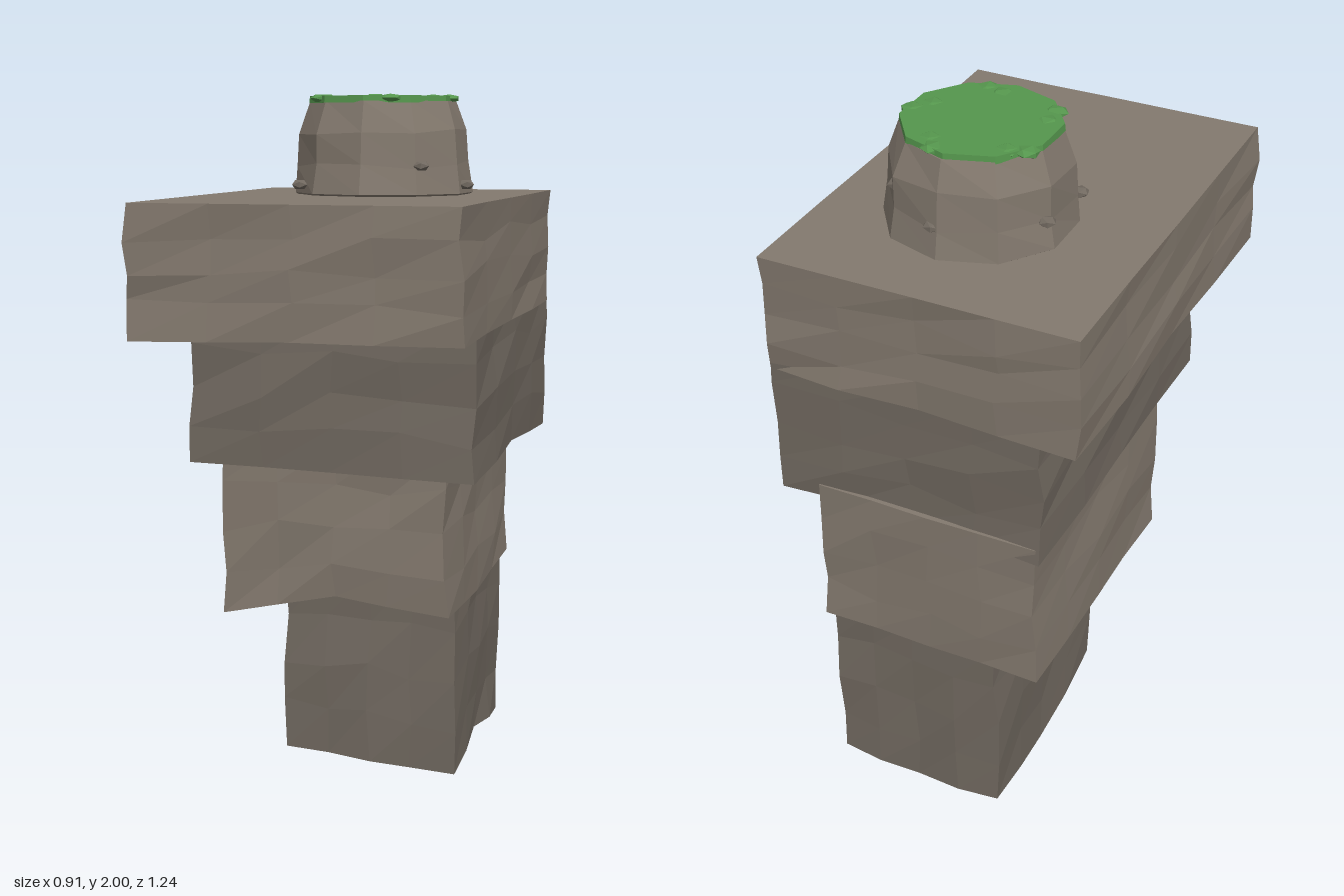
import * as THREE from 'three';

const paint = (color) => new THREE.MeshStandardMaterial({ color, flatShading: true });
const lightStone = paint(0x83796e), darkStone = paint(0x716960), moss = paint(0x55964d);

// Repeatable noise in -1..1, equal for corners that share a position
function noise(x, y, z, k) {
  const s = Math.sin(x * 127.1 + y * 311.7 + z * 74.7 + k * 53.3) * 43758.5453;
  return (s - Math.floor(s)) * 2 - 1;
}

// 3 x 3 grid of heights (rows back to front, columns -x to +x), blended
function blend(grid, u, v) {
  const i = Math.min(1, Math.floor(u * 2)), j = Math.min(1, Math.floor(v * 2));
  const a = u * 2 - i, b = v * 2 - j, at = (r, c) => grid[r * 3 + c];
  return THREE.MathUtils.lerp(
    THREE.MathUtils.lerp(at(j, i), at(j, i + 1), a),
    THREE.MathUtils.lerp(at(j + 1, i), at(j + 1, i + 1), a), b);
}

// Rough-hewn block: flat top, uneven underside, slightly wavy walls
function block(name, [x0, x1], [y0, y1], [z0, z1], lift, material, seed) {
  const geo = new THREE.BoxGeometry(1, 1, 1, 4, 4, 4);
  const p = geo.attributes.position;
  for (let i = 0; i < p.count; i++) {
    const u = p.getX(i) + 0.5, h = p.getY(i) + 0.5, v = p.getZ(i) + 0.5;
    const low = y0 + blend(lift, u, v);
    const wave = 0.009 * (h < 1 ? 1 : 0.4);
    const inner = h > 0 && h < 1 ? 0.02 : 0;
    p.setXYZ(i,
      THREE.MathUtils.lerp(x0, x1, u) + wave * noise(u, h, v, seed),
      THREE.MathUtils.lerp(low, y1, h) + inner * noise(u, h, v, seed + 1),
      THREE.MathUtils.lerp(z0, z1, v) + wave * noise(u, h, v, seed + 2));
  }
  const mesh = new THREE.Mesh(geo.toNonIndexed(), material);
  mesh.geometry.computeVertexNormals();
  mesh.name = name;
  return mesh;
}

// Small flattened lump
function lump(name, x, y, z, r, flat, material) {
  const mesh = new THREE.Mesh(new THREE.IcosahedronGeometry(r, 0), material);
  mesh.position.set(x, y, z);
  mesh.scale.y = flat;
  mesh.rotation.y = x * 17 + z * 9;
  mesh.name = name;
  return mesh;
}

export function createModel() {
  const group = new THREE.Group();
  group.name = 'rockPillar';

  // Stacked blocks, flush at the back and stepping outward toward the top
  group.add(
    block('baseBlock', [-0.205, 0.305], [0, 0.62], [-0.6, 0.05],
      [0.03, 0.02, 0.04, 0, 0.03, 0.08, 0.08, 0.06, 0.04], darkStone, 1),
    block('lowerBlock', [-0.33, 0.32], [0.53, 1.03], [-0.61, 0.225],
      [0.04, 0.03, 0.04, 0.02, 0.03, 0.01, 0, 0.07, 0.03], lightStone, 5),
    block('middleBlock', [-0.345, 0.44], [0.985, 1.42], [-0.605, 0.425],
      [0, 0.01, 0, 0.02, 0.02, 0.03, 0.02, 0.01, 0], darkStone, 9),
    block('topBlock', [-0.448, 0.445], [1.355, 1.715], [-0.613, 0.613],
      [0.01, 0.02, 0.02, 0.02, 0.02, 0.02, 0, 0.01, 0.01], lightStone, 13));

  // Round stump: ten-sided rings, gently irregular
  const rings = [[0.225, 1.7], [0.262, 1.72], [0.248, 1.8], [0.245, 1.89], [0.214, 1.98], [0, 1.98]];
  const stumpGeo = new THREE.LatheGeometry(rings.map(([r, y]) => new THREE.Vector2(r, y)), 10);
  const p = stumpGeo.attributes.position;
  for (let i = 0; i < p.count; i++) {
    const side = Math.floor(i / rings.length) % 10, ring = i % rings.length;
    const s = 1 + 0.02 * noise(side, ring, 0, 21);
    const dy = ring === 2 || ring === 3 ? 0.012 * noise(side, ring, 1, 23) : 0;
    p.setXYZ(i, p.getX(i) * s, p.getY(i) + dy, p.getZ(i) * s);
  }
  const stump = new THREE.Mesh(stumpGeo, lightStone);
  stump.position.set(0.03, 0, -0.18);
  stump.name = 'stump';
  group.add(stump);

  // Pebbles stuck to the stump
  [[-0.17, 1.745, 0], [0.19, 1.8, 0.01], [0.285, 1.745, -0.14], [0.19, 1.85, -0.34],
    [0.05, 1.8, -0.415], [-0.2, 1.8, -0.27]]
    .forEach(([x, y, z]) => group.add(lump('pebble', x, y, z, 0.025, 0.6, darkStone)));

  // Moss cap and the clumps around its rim
  const cap = new THREE.Mesh(new THREE.CylinderGeometry(0.212, 0.214, 0.02, 10), moss);
  cap.position.set(0.028, 1.985, -0.178);
  cap.name = 'mossCap';
  group.add(cap);
  [[-0.15, -0.28], [-0.1, -0.295], [0.07, -0.36], [0.1, -0.32], [0.22, -0.19],
    [0.185, -0.145], [0.1, 0], [0.05, -0.015], [-0.12, -0.05], [-0.125, -0.11]]
    .forEach(([x, z]) => group.add(lump('mossClump', x, 1.988, z, 0.034, 0.38, moss)));

  return group;
}
